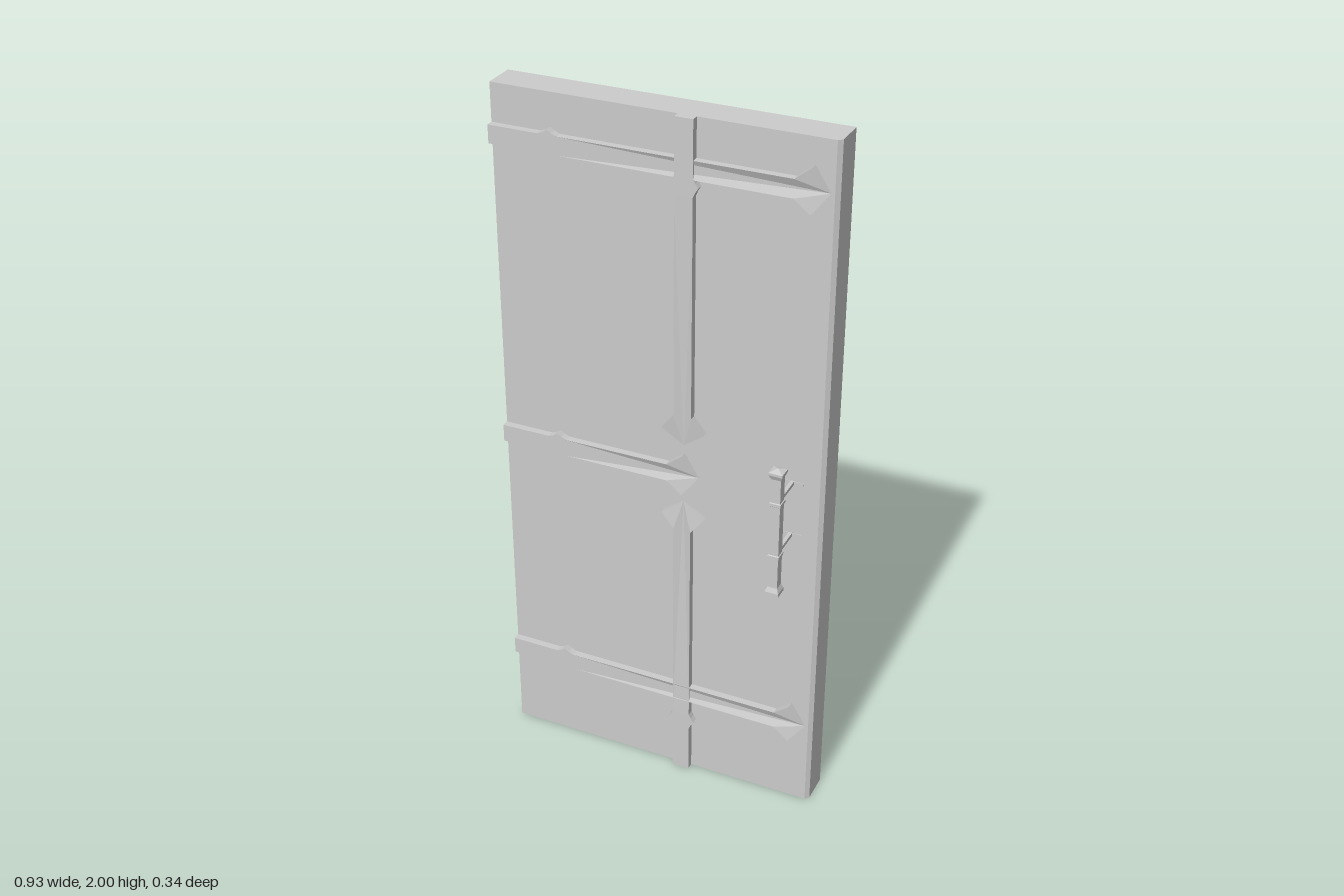
import * as THREE from 'three';

const material = new THREE.MeshStandardMaterial({ color: 0xcccccc, flatShading: true, side: THREE.DoubleSide });

function addMesh(parent, name, geometry) {
  const mesh = new THREE.Mesh(geometry, material);
  mesh.name = name;
  parent.add(mesh);
  return mesh;
}

function shapeFrom(points) {
  return new THREE.Shape(points.map(([x, y]) => new THREE.Vector2(x, y)));
}

// Flat strap along +x starting at 0: collar, then a spearhead thinned to an edge at its tip
function strapGeometry(length, collar) {
  const w = 0.025, neck = length - 0.09, wide = length - 0.046;
  const upper = [
    [0, w], [collar - 0.026, w], [collar - 0.012, 0.031], [collar, 0.039],
    [collar + 0.012, 0.031], [collar + 0.026, w], [neck, w], [wide, 0.06],
  ];
  const lower = upper.map(([x, y]) => [x, -y]).reverse();
  const geometry = new THREE.ExtrudeGeometry(shapeFrom([...upper, [length, 0], ...lower]), {
    depth: 0.022, bevelEnabled: false,
  });
  const p = geometry.attributes.position;
  for (let i = 0; i < p.count; i++) {
    if (p.getX(i) > length - 0.001) p.setZ(i, 0.011);
  }
  geometry.computeVertexNormals();
  return geometry;
}

// Square pull bar with flared, pointed ends and two thin standoffs
function createHandle(name, x, side) {
  const handle = new THREE.Group();
  handle.name = name;
  const r = Math.SQRT2;
  const profile = [
    [0, 0.763], [0.019, 0.771], [0.019, 0.781], [0.0135, 0.795],
    [0.0135, 0.884], [0.016, 0.886], [0.016, 0.894], [0.0135, 0.896],
    [0.0135, 1.044], [0.016, 1.046], [0.016, 1.054], [0.0135, 1.056],
    [0.0135, 1.125], [0.019, 1.138], [0.019, 1.145], [0, 1.153],
  ].map(([half, y]) => new THREE.Vector2(half * r, y));
  const bar = addMesh(handle, 'pullBar', new THREE.LatheGeometry(profile, 4, Math.PI / 4));
  bar.position.set(x, 0, side * 0.152);

  const surface = side > 0 ? 0.045 : 0.05;
  const reach = 0.145 - surface;
  for (const y of [0.89, 1.05]) {
    const rod = addMesh(handle, 'standoff', new THREE.BoxGeometry(0.01, 0.01, reach));
    rod.position.set(x, y, side * (surface + reach / 2));
    const plate = addMesh(handle, 'mountingPlate', new THREE.BoxGeometry(0.06, 0.008, 0.003));
    plate.position.set(x, y, side * surface);
  }
  return handle;
}

export function createModel() {
  const door = new THREE.Group();
  door.name = 'door';

  // Slab with a chamfer along the front opening edge, drawn in plan and raised
  const plan = shapeFrom([
    [-0.465, 0.05], [-0.465, -0.045], [0.452, -0.045], [0.463, -0.035], [0.463, 0.05],
  ]);
  const slab = new THREE.ExtrudeGeometry(plan, { depth: 2, bevelEnabled: false });
  slab.rotateX(-Math.PI / 2);
  addMesh(door, 'doorSlab', slab);

  // Iron straps: name, start, length, collar distance, rotation
  const straps = [
    ['topHingeStrap', -0.465, 1.87, 0.911, 0.167, 0],
    ['middleHingeStrap', -0.465, 1.0, 0.581, 0.167, 0],
    ['bottomHingeStrap', -0.465, 0.272, 0.911, 0.167, 0],
    ['upperVerticalStrap', 0.072, 2, 0.91, 0.175, -Math.PI / 2],
    ['lowerVerticalStrap', 0.072, 0, 0.917, 0.175, Math.PI / 2],
  ];
  for (const [name, x, y, length, collar, angle] of straps) {
    const strap = addMesh(door, name, strapGeometry(length, collar));
    strap.position.set(x, y, 0.0435);
    strap.rotation.z = angle;
  }

  // Pull handles on both faces
  door.add(createHandle('frontHandle', 0.376, 1), createHandle('backHandle', 0.333, -1));
  return door;
}
